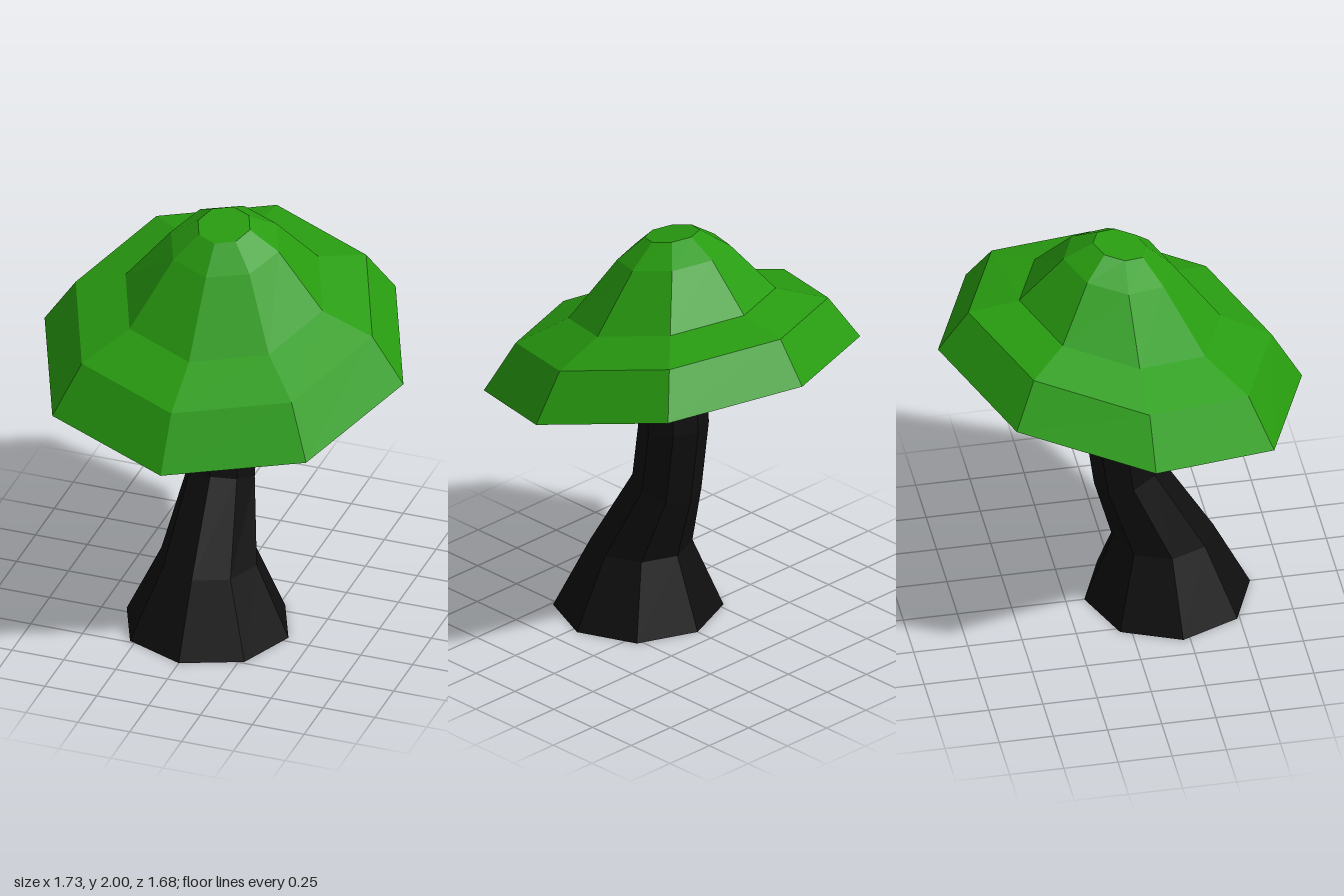
import * as THREE from 'three';

const SIDES = 8;

// Tilted octagon from its half width and its front and back points in the z-y plane
function ring([halfX, frontZ, frontY, backZ, backY]) {
  return Array.from({ length: SIDES }, (_, i) => {
    const a = (i / SIDES) * Math.PI * 2;
    const t = (1 + Math.cos(a)) / 2;
    return new THREE.Vector3(
      halfX * Math.sin(a),
      THREE.MathUtils.lerp(backY, frontY, t),
      THREE.MathUtils.lerp(backZ, frontZ, t)
    );
  });
}

const centre = (points) =>
  points.reduce((sum, p) => sum.add(p), new THREE.Vector3()).divideScalar(points.length);

function meshFrom(name, color, triangles) {
  const geometry = new THREE.BufferGeometry().setFromPoints(triangles);
  geometry.computeVertexNormals();
  const mesh = new THREE.Mesh(geometry, new THREE.MeshStandardMaterial({ color, flatShading: true }));
  mesh.name = name;
  return mesh;
}

// Fan from a ring to a point, facing up or down
function fan(points, tip, up) {
  return points.flatMap((p, i) => {
    const q = points[(i + 1) % SIDES];
    return up ? [p, q, tip] : [q, p, tip];
  });
}

// Side walls joining rings listed from bottom to top
function walls(rings) {
  const out = [];
  for (let r = 0; r < rings.length - 1; r++) {
    for (let i = 0; i < SIDES; i++) {
      const j = (i + 1) % SIDES;
      const [a, b, c, d] = [rings[r][i], rings[r][j], rings[r + 1][j], rings[r + 1][i]];
      out.push(a, b, c, a, c, d);
    }
  }
  return out;
}

export function createModel() {
  const model = new THREE.Group();
  model.name = 'mushroom';

  // Bent stem with a flared foot
  const stem = [
    [0.39, 0.6, 0, -0.165, 0],
    [0.23, 0.43, 0.34, -0.035, 0.34],
    [0.16, 0.185, 0.75, -0.12, 0.65],
    [0.16, 0.15, 1.0, -0.17, 1.02],
    [0.16, 0.16, 1.22, -0.152, 1.32],
  ].map(ring);
  const top = stem[stem.length - 1];
  model.add(meshFrom('stem', 0x0f0f0f, [
    ...walls(stem),
    ...fan(stem[0], centre(stem[0]), false),
    ...fan(top, centre(top), true),
  ]));

  // Cap leaning towards the front
  const cap = [
    [0.865, 0.84, 1.12, -0.84, 1.5],
    [0.715, 0.7, 1.37, -0.7, 1.69],
    [0.475, 0.465, 1.51, -0.465, 1.725],
    [0.26, 0.24, 1.83, -0.26, 1.93],
    [0.125, 0.125, 1.945, -0.125, 2.0],
  ].map(ring);
  const crown = cap[cap.length - 1];
  model.add(meshFrom('cap', 0x289c10, [...walls(cap), ...fan(crown, centre(crown), true)]));

  // Shallow cone under the cap
  model.add(meshFrom('capUnderside', 0x0a2458, fan(cap[0], new THREE.Vector3(0, 1.217, 0), false)));

  return model;
}
